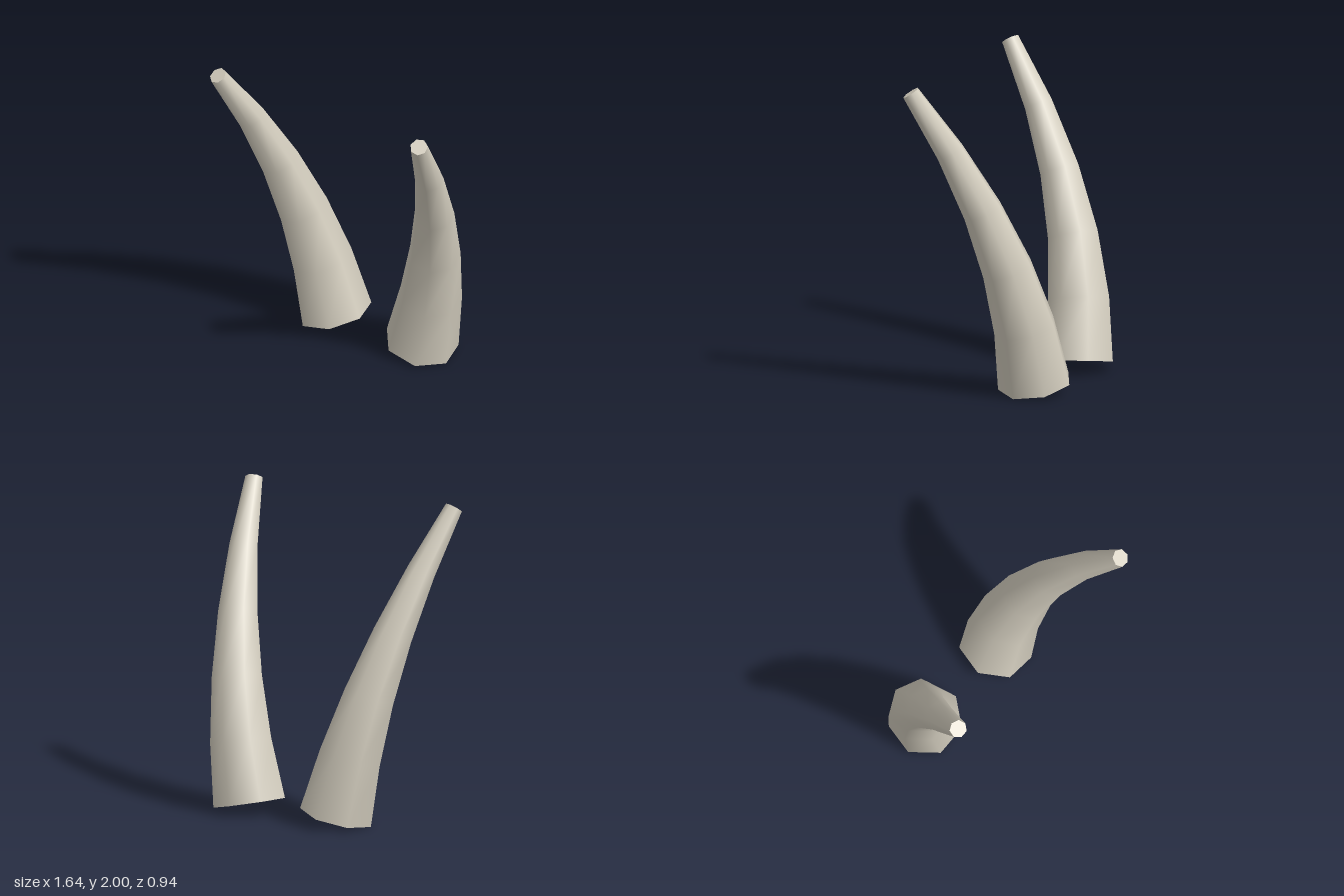
import * as THREE from 'three';

const LENGTH = 1.965, SEGMENTS = 5, SIDES = 7;
const BASE_RADIUS = 0.237, TIP_RADIUS = 0.057;
const SPLAY = 0.2235; // outward lean of each horn

// forward sweep of the centre line, t from 0 (base) to 1 (tip)
const sweep = (t) => 0.012 * t + 0.65 * t * t;

// forward lean of the ring at t, taken from its neighbouring rings
function lean(t) {
  const a = Math.max(0, t - 1 / SEGMENTS), b = Math.min(1, t + 1 / SEGMENTS);
  return Math.atan2(sweep(b) - sweep(a), (b - a) * LENGTH);
}

// tapered, capped cylinder whose rings follow the curved centre line
function hornGeometry() {
  const geo = new THREE.CylinderGeometry(
    TIP_RADIUS, BASE_RADIUS, LENGTH, SIDES, SEGMENTS, false, Math.PI);
  const pos = geo.attributes.position, nor = geo.attributes.normal;
  const axis = new THREE.Vector3(1, 0, 0);
  const p = new THREE.Vector3(), n = new THREE.Vector3();
  for (let i = 0; i < pos.count; i++) {
    p.fromBufferAttribute(pos, i);
    n.fromBufferAttribute(nor, i);
    const t = Math.round((p.y / LENGTH + 0.5) * SEGMENTS) / SEGMENTS;
    const angle = lean(t);
    p.setY(0).applyAxisAngle(axis, angle);
    n.applyAxisAngle(axis, angle);
    pos.setXYZ(i, p.x, p.y + t * LENGTH, p.z + sweep(t));
    nor.setXYZ(i, n.x, n.y, n.z);
  }
  return geo;
}

export function createModel() {
  const model = new THREE.Group();
  model.name = 'hornPair';
  const bone = new THREE.MeshStandardMaterial({ color: 0xd4cebf });
  const geo = hornGeometry();

  // matching horns, leaning outward to either side
  for (const side of [1, -1]) {
    const horn = new THREE.Mesh(geo, bone);
    horn.name = side > 0 ? 'leftHorn' : 'rightHorn';
    horn.position.set(side * 0.33, 0.055, -0.233);
    horn.rotation.z = -side * SPLAY;
    model.add(horn);
  }
  return model;
}
